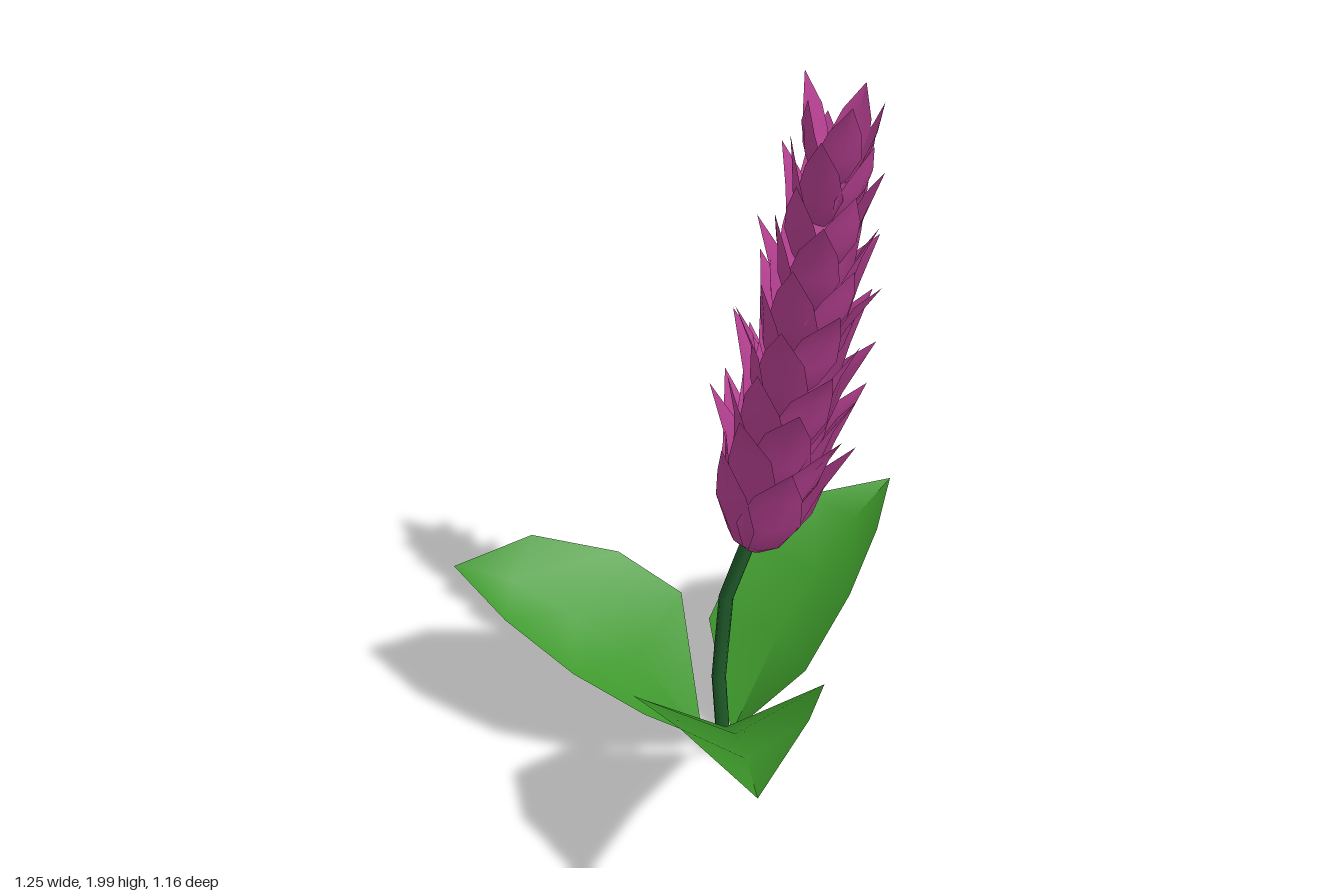
import * as THREE from 'three';

const V = (x, y, z) => new THREE.Vector3(x, y, z);
const material = (color) => new THREE.MeshStandardMaterial({ color, side: THREE.DoubleSide });

// Skin a blade from rows of three points: left edge, midrib, right edge
function bladeGeometry(rows) {
  const index = [];
  for (let i = 0; i < rows.length - 1; i++) {
    for (let j = 0; j < 2; j++) {
      const a = i * 3 + j, b = a + 1, c = a + 3, d = a + 4;
      index.push(a, b, d, a, d, c);
    }
  }
  const geometry = new THREE.BufferGeometry().setFromPoints(rows.flat());
  geometry.setIndex(index);
  geometry.computeVertexNormals();
  return geometry;
}

// Leaf outlines: base, three [left, midrib, right] sections, tip
const LEAVES = {
  frontLeftLeaf: {
    base: [-0.07, 0.07, 0.13],
    sections: [
      [[-0.07, 0.37, 0.35], [0.13, 0.36, 0.23], [0.16, 0.36, 0.0]],
      [[0.09, 0.575, 0.47], [0.295, 0.52, 0.315], [0.32, 0.56, 0.065]],
      [[0.35, 0.695, 0.505], [0.46, 0.625, 0.4], [0.49, 0.68, 0.245]],
    ],
    tip: [0.62, 0.69, 0.485],
  },
  frontRightLeaf: {
    base: [-0.13, 0.05, 0.13],
    sections: [
      [[-0.305, 0.43, 0.07], [-0.265, 0.335, 0.25], [-0.1, 0.28, 0.33]],
      [[-0.45, 0.53, 0.175], [-0.385, 0.455, 0.365], [-0.21, 0.42, 0.47]],
      [[-0.55, 0.62, 0.38], [-0.51, 0.54, 0.475], [-0.4, 0.515, 0.555]],
    ],
    tip: [-0.625, 0.56, 0.58],
  },
  backLeaf: {
    base: [-0.09, 0.06, 0.06],
    sections: [
      [[0.06, 0.33, -0.08], [-0.12, 0.31, -0.125], [-0.285, 0.31, -0.005]],
      [[0.03, 0.49, -0.25], [-0.155, 0.445, -0.28], [-0.34, 0.47, -0.17]],
      [[-0.055, 0.585, -0.41], [-0.185, 0.53, -0.435], [-0.305, 0.57, -0.375]],
    ],
    tip: [-0.21, 0.59, -0.585],
  },
};

// Centre line of the flower spike
const spike = new THREE.CatmullRomCurve3([
  V(-0.045, 0.735, 0.01), V(-0.01, 0.98, -0.02), V(0.045, 1.4, -0.07), V(0.1, 1.98, -0.13),
]);

// One bract; profile rows are [height along bract, radius factor, half angle]
function bractGeometry({ start, length, radius, angle, baseRadius, flare }) {
  const tangent = spike.getTangentAt(start);
  const origin = spike.getPointAt(start);
  const side = V(1, 0, 0).addScaledVector(tangent, -tangent.x).normalize();
  const front = side.clone().cross(tangent);
  const profile = [
    [0, baseRadius, 0.4], [0.12, 0.4 * baseRadius + 0.52, 0.62], [0.38, 1, 0.72],
    [0.66, 1.12, 0.45], [1, flare, 0],
  ];
  const rows = profile.map(([h, r, half]) => [-1, 0, 1].map((s) => {
    const a = angle - s * half;
    const q = radius * r;
    return origin.clone()
      .addScaledVector(tangent, h * length)
      .addScaledVector(side, Math.cos(a) * q)
      .addScaledVector(front, Math.sin(a) * q);
  }));
  return bladeGeometry(rows);
}

export function createModel() {
  const model = new THREE.Group();
  const add = (parent, name, geometry, mat) => {
    const mesh = new THREE.Mesh(geometry, mat);
    mesh.name = name;
    parent.add(mesh);
  };
  const leafMaterial = material(0x3d982a);
  const stemMaterial = material(0x1f5c2a);
  const bractMaterial = material(0xbc4296);

  // Stem in three straight lengths, with a closed foot
  const stemCurve = new THREE.CatmullRomCurve3([
    V(-0.085, 0, 0.09), V(-0.103, 0.28, 0.09), V(-0.095, 0.54, 0.07), V(-0.04, 0.82, 0.0),
  ]);
  add(model, 'stem', new THREE.TubeGeometry(stemCurve, 3, 0.02, 7), stemMaterial);
  const foot = new THREE.CircleGeometry(0.02, 7).rotateX(Math.PI / 2).translate(-0.085, 0.001, 0.09);
  add(model, 'stemFoot', foot, stemMaterial);

  // Three folded leaves
  for (const [name, { base, sections, tip }] of Object.entries(LEAVES)) {
    const rows = [[base, base, base], ...sections, [tip, tip, tip]];
    add(model, name, bladeGeometry(rows.map((row) => row.map((p) => V(...p)))), leafMaterial);
  }

  // Overlapping rings of uneven bracts, smaller towards the top
  const flower = new THREE.Group();
  flower.name = 'flowerSpike';
  const RINGS = 11, PER_RING = 5;
  for (let i = 0; i < RINGS; i++) {
    const t = i / (RINGS - 1);
    for (let j = 0; j < PER_RING; j++) {
      const vary = Math.sin(i * 2.3 + j * 4.1);
      const sway = Math.cos(i * 5.7 + j * 2.9);
      add(flower, 'bract', bractGeometry({
        start: t * 0.825 + (i > 0 && i < RINGS - 1 ? 0.012 * sway : 0),
        length: THREE.MathUtils.lerp(0.39, 0.2, Math.pow(t, 0.8)) * (1 + 0.07 * vary),
        radius: THREE.MathUtils.lerp(0.122, 0.073, t),
        angle: ((j + i * 0.5) / PER_RING) * Math.PI * 2 + 0.4 + i * 0.13 + 0.12 * sway,
        baseRadius: i === 0 ? 0.25 : 0.45,
        flare: THREE.MathUtils.lerp(1.62, 1.3, t * t) + 0.18 * vary,
      }), bractMaterial);
    }
  }
  model.add(flower);
  return model;
}
